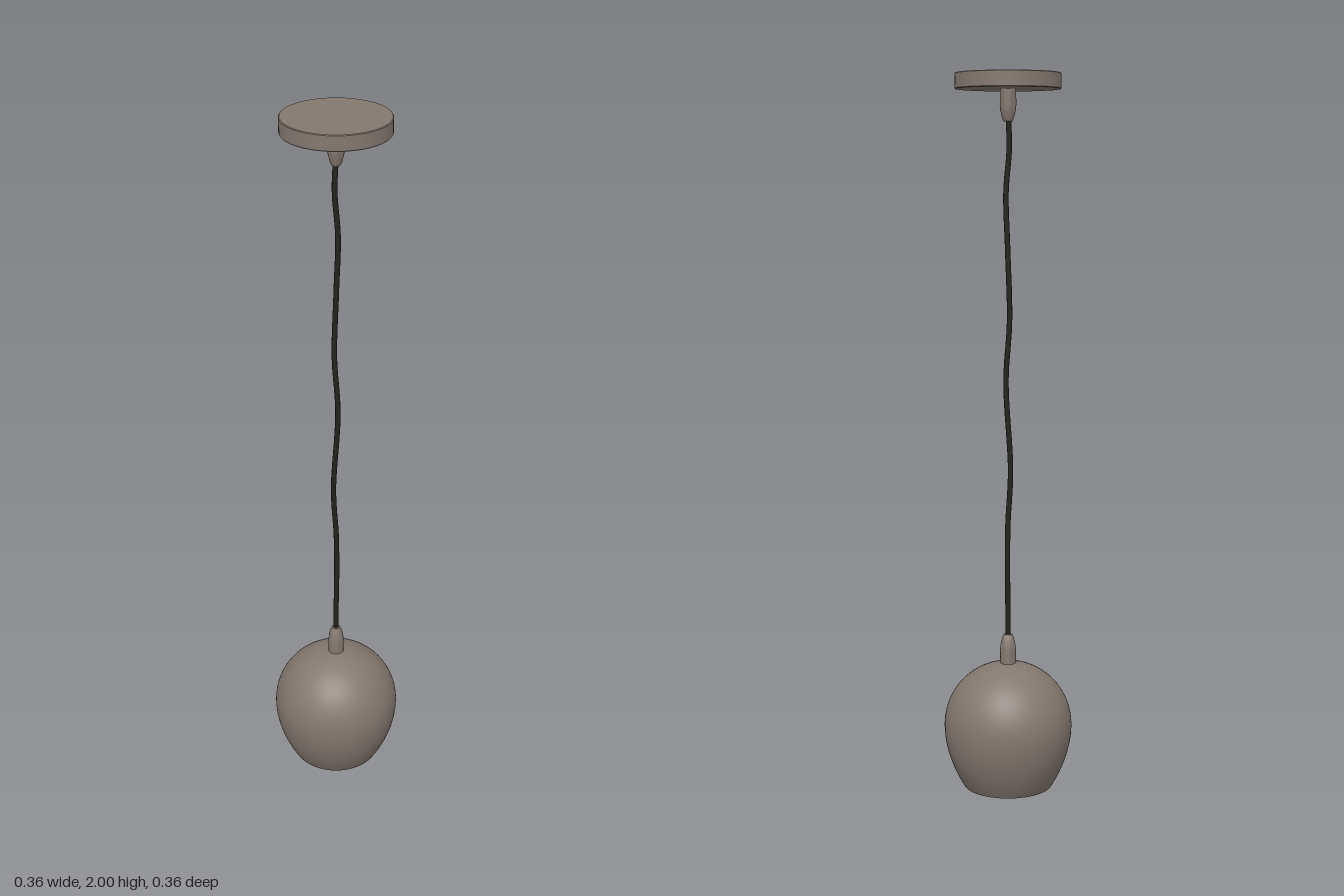
import * as THREE from 'three';
import { toCreasedNormals } from 'three/addons/utils/BufferGeometryUtils.js';

export function createModel() {
  const group = new THREE.Group();
  group.name = 'pendantLamp';
  const metal = new THREE.MeshStandardMaterial({ color: 0x83786f });
  metal.name = 'warm grey metal';
  const black = new THREE.MeshStandardMaterial({ color: 0x22221e });
  black.name = 'black cable';

  const add = (name, geometry, material) => {
    const mesh = new THREE.Mesh(geometry, material);
    mesh.name = name;
    group.add(mesh);
    return mesh;
  };
  const lathe = (points, segments) => toCreasedNormals(
    new THREE.LatheGeometry(points.map(([r, y]) => new THREE.Vector2(r, y)), segments), 0.6);

  // Ceiling canopy: flat disc with a tiny edge bevel
  add('canopy', lathe([[0, 1.957], [0.143, 1.957], [0.145, 1.959], [0.145, 1.998], [0.143, 2], [0, 2]], 64), metal);

  // Cable grips: a straight collar with a rounded taper
  const grip = [[0, 0], [0.022, 0], [0.0225, 0.045], [0.021, 0.06], [0.016, 0.08], [0.012, 0.089], [0, 0.09]];
  add('lowerCableGrip', lathe(grip, 24), metal).position.y = 0.352;
  const upper = add('upperCableGrip', lathe(grip, 24), metal);
  upper.position.y = 1.96;
  upper.rotation.x = Math.PI;

  // Slightly wavy hanging cable
  const path = new THREE.CatmullRomCurve3([
    [0, 1.9, 0], [-0.003, 1.8, 0.004], [0.006, 1.68, 0.005], [0.001, 1.52, 0.002],
    [-0.004, 1.33, 0.003], [0.006, 1.16, 0.004], [-0.007, 0.91, 0.001],
    [0, 0.76, -0.003], [0.001, 0.64, -0.007], [0, 0.5, -0.001], [0, 0.41, 0],
  ].map(p => new THREE.Vector3(...p)));
  add('cable', new THREE.TubeGeometry(path, 80, 0.0075, 10), black);

  // Globe shade: hollow, dome above and a narrowing open skirt below
  const radius = 0.181, wall = 0.006, middle = 0.178;
  const skirt = new THREE.CubicBezierCurve3(
    new THREE.Vector3(0.125, 0, 0), new THREE.Vector3(0.15, 0.04, 0),
    new THREE.Vector3(radius, 0.105, 0), new THREE.Vector3(radius, middle, 0));
  const outer = skirt.getPoints(16).map(p => [p.x, p.y]);
  for (let i = 1; i <= 20; i++) {
    const a = (i / 20) * Math.PI / 2;
    outer.push([i === 20 ? 0 : radius * Math.cos(a), middle + radius * Math.sin(a)]);
  }
  const inner = outer.map(([r, y]) => [
    r * (1 - wall / radius), y > middle ? middle + (y - middle) * (1 - wall / radius) : y,
  ]).reverse();
  add('shade', lathe([...inner, ...outer], 64), metal);

  return group;
}
